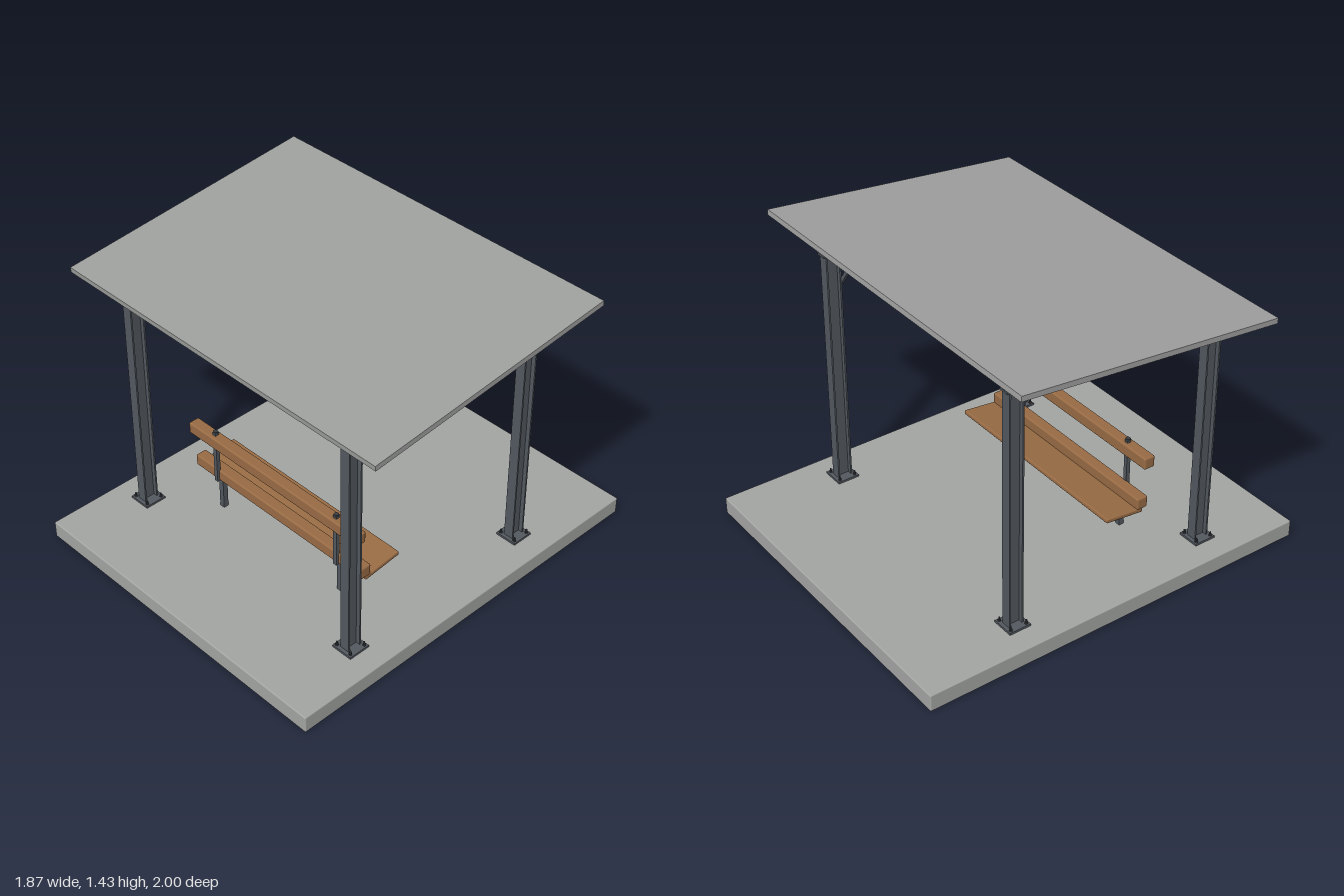
import * as THREE from 'three';
import { RoundedBoxGeometry } from 'three/addons/geometries/RoundedBoxGeometry.js';

const mat = (name, color) => {
  const m = new THREE.MeshStandardMaterial({ color });
  m.name = name;
  return m;
};

// I-section bar running along z, centred
function iBeam(depth, width, length, t = 0.008) {
  const h = depth / 2, w = width / 2, c = t / 2;
  const half = [[-w, -h], [w, -h], [w, -h + t], [c, -h + t], [c, h - t], [w, h - t]];
  const pts = [...half, ...half.map(([x, y]) => [-x, -y])]
    .map(([x, y]) => new THREE.Vector2(x, y));
  // the opposite half starts at the top right corner, closing the outline
  const outline = [...pts.slice(0, 6), ...pts.slice(6).map((p) => p)];
  const g = new THREE.ExtrudeGeometry(new THREE.Shape(outline), { depth: length, bevelEnabled: false });
  return g.translate(0, 0, -length / 2);
}

export function createModel() {
  const concrete = mat('concrete', 0xa4a6a4);
  const roofing = mat('roofing', 0x9fa19f);
  const steel = mat('steel', 0x535960);
  const bolts = mat('bolts', 0x3a3e43);
  const wood = mat('wood', 0x996c45);

  const model = new THREE.Group();
  model.name = 'shelter';
  const add = (name, geometry, material, x, y, z, parent = model) => {
    const m = new THREE.Mesh(geometry, material);
    m.name = name;
    m.position.set(x, y, z);
    parent.add(m);
    return m;
  };
  const box = (w, h, d) => new THREE.BoxGeometry(w, h, d);
  const rounded = (w, h, d, r = 0.008) => new RoundedBoxGeometry(w, h, d, 2, r);

  // Ground slab
  const floor = 0.085;
  add('slab', rounded(1.69, floor, 2, 0.006), concrete, 0, floor / 2, 0);

  // Posts with base plates and anchor bolts
  const postX = 0.677;
  for (const [place, z, top] of [['front', 0.578, 1.245], ['back', -0.46, 1.277]]) {
    for (const s of [-1, 1]) {
      const x = s * postX;
      const length = top - floor;
      const post = iBeam(0.074, 0.05, length).rotateX(-Math.PI / 2);
      add(place + 'Post', post, steel, x, floor + length / 2, z);
      add('basePlate', box(0.11, 0.01, 0.11), steel, x, floor + 0.005, z);
      for (const i of [-1, 1]) {
        for (const k of [-1, 1]) {
          add('anchorBolt', new THREE.CylinderGeometry(0.004, 0.004, 0.03, 8), bolts,
            x + i * 0.041, floor + 0.015, z + k * 0.041);
          add('anchorNut', new THREE.CylinderGeometry(0.008, 0.008, 0.007, 6), bolts,
            x + i * 0.041, floor + 0.0135, z + k * 0.041);
        }
      }
    }
  }
  for (const s of [-1, 1]) add('postCap', box(0.05, 0.008, 0.074), steel, s * postX, 1.25, 0.578);

  // Cross beams along x
  for (const [name, y, z] of [['frontBeam', 1.237, 0.578], ['backBeam', 1.318, -0.46]]) {
    add(name, iBeam(0.046, 0.045, 1.31).rotateY(Math.PI / 2), steel, 0, y, z);
  }

  // Corner braces at the back posts
  for (const s of [-1, 1]) {
    const brace = add('cornerBrace', box(0.018, 0.215, 0.016), steel, s * 0.604, 1.207, -0.418);
    brace.rotation.z = s * 0.64;
  }

  // Sloping roof: origin at the middle of its top surface
  const roof = new THREE.Group();
  roof.name = 'roof';
  roof.position.set(0, 1.3725, 0.047);
  roof.rotation.x = 0.0944;
  model.add(roof);
  add('roofPanel', box(1.87, 0.026, 1.325), roofing, 0, -0.013, 0, roof);
  for (let i = -3; i <= 3; i++) {
    add('ceilingBoard', box(0.222, 0.013, 1.25), wood, i * 0.231, -0.0325, -0.002, roof);
  }
  for (let i = -2; i <= 2; i++) {
    add('rafter', box(0.02, 0.018, 1.07), steel, i * 0.231, -0.048, -0.01, roof);
  }
  for (const s of [-1, 1]) {
    add('sideBeam', iBeam(0.075, 0.05, 1.04), steel, s * postX, -0.108, -0.025, roof);
  }

  // Bench, facing the back
  const bench = new THREE.Group();
  bench.name = 'bench';
  model.add(bench);
  add('backRail', rounded(1.09, 0.059, 0.057), wood, 0, 0.492, 0.389, bench);
  add('seatRail', rounded(1.09, 0.059, 0.058), wood, 0, 0.286, 0.357, bench);
  const seat = add('seatBoard', rounded(1.09, 0.022, 0.205, 0.006), wood, 0, 0.26, 0.257, bench);
  seat.rotation.x = 0.11;
  for (const s of [-1, 1]) {
    const x = s * 0.392;
    add('benchLeg', box(0.027, 0.17, 0.026), steel, x, floor + 0.085, 0.357, bench);
    add('seatBracket', box(0.027, 0.008, 0.17), steel, x, 0.244, 0.275, bench).rotation.x = 0.11;
    add('backSupport', box(0.02, 0.28, 0.02), steel, x, 0.395, 0.388, bench);
    add('supportCap', new THREE.CylinderGeometry(0.012, 0.012, 0.014, 8), bolts, x, 0.534, 0.388, bench);
  }
  return model;
}
